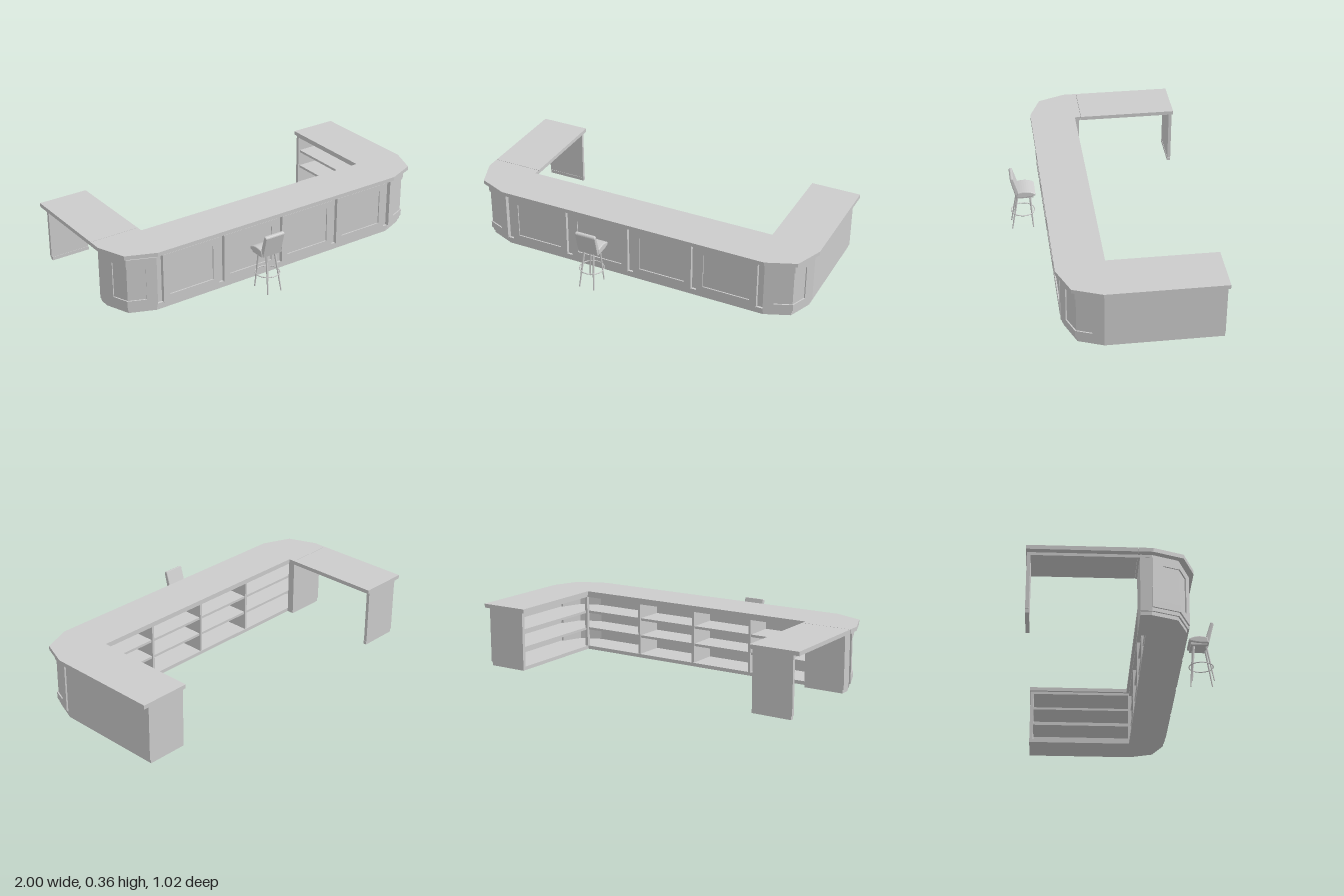
import * as THREE from 'three';

const grey = new THREE.MeshStandardMaterial({ color: 0xcccccc });
const flat = new THREE.MeshStandardMaterial({ color: 0xcccccc, flatShading: true });

function add(parent, name, geometry, material = flat) {
  const mesh = new THREE.Mesh(geometry, material);
  mesh.name = name;
  parent.add(mesh);
  return mesh;
}

// Box given by its limits on each axis
function box(parent, name, x0, x1, y0, y1, z0, z1) {
  const mesh = add(parent, name, new THREE.BoxGeometry(x1 - x0, y1 - y0, z1 - z0));
  mesh.position.set((x0 + x1) / 2, (y0 + y1) / 2, (z0 + z1) / 2);
  return mesh;
}

// Upright prism over a floor plan of [x, z] points
function prism(parent, name, plan, y0, y1) {
  const shape = new THREE.Shape(plan.map(([x, z]) => new THREE.Vector2(x, z)));
  const g = new THREE.ExtrudeGeometry(shape, { depth: y1 - y0, bevelEnabled: false });
  g.rotateX(Math.PI / 2).translate(0, y1, 0);
  return add(parent, name, g);
}

// Chamfered corner on the +x side, moved inwards by d
const corner = d => [
  [1 - d, 0.12 - 0.19 * d],
  [0.94 - 0.77 * d, 0.275 - 0.77 * d],
  [0.78 - 0.2 * d, 0.34 - d],
];
const mirror = pts => pts.map(([x, z]) => [-x, z]);
const mix = (a, b, t) => [a[0] + (b[0] - a[0]) * t, a[1] + (b[1] - a[1]) * t];

// Wall strip between two inward offsets of the same path
function ribbon(parent, name, path, dOut, dIn, y0, y1) {
  return prism(parent, name, [...path(dOut), ...path(dIn).reverse()], y0, y1);
}

// Counter plan: the +x wing runs to the back, the -x side stops at zStop
const plan = (d, ix, iz, zBack, zStop) => [
  [ix, zBack], [1 - d, zBack],
  ...corner(d), ...mirror(corner(d)).reverse(),
  [-(1 - d), zStop], [-ix, zStop], [-ix, iz], [ix, iz],
];

// Framed panel: recessed field, two rails and two end stiles
function framedPanel(parent, name, path, stileA, stileB) {
  const panel = new THREE.Group();
  panel.name = name;
  parent.add(panel);
  ribbon(panel, 'panelField', path, 0.031, 0.05, 0.045, 0.32);
  ribbon(panel, 'bottomRail', path, 0.024, 0.05, 0.045, 0.082);
  ribbon(panel, 'topRail', path, 0.024, 0.05, 0.282, 0.32);
  for (const stile of [stileA, stileB]) ribbon(panel, 'stile', stile, 0.024, 0.05, 0.082, 0.282);
}

function buildCounter() {
  const counter = new THREE.Group();
  counter.name = 'counter';

  // Worktop, mouldings and plinth
  prism(counter, 'worktop', plan(0, 0.72, 0.08, -0.51, 0.045), 0.336, 0.358);
  prism(counter, 'topBoard', plan(0.032, 0.735, 0.095, -0.505, 0.055), 0.32, 0.336);
  prism(counter, 'plinth', plan(0.04, 0.735, 0.095, -0.505, 0.055), 0.005, 0.025);
  const front = d => [...corner(d), ...mirror(corner(d)).reverse()];
  ribbon(counter, 'baseMoulding', front, 0.032, 0.06, 0.025, 0.045);

  // Walls
  ribbon(counter, 'frontWall', front, 0.045, 0.07, 0.025, 0.32);
  box(counter, 'wingSideWall', 0.945, 0.967, 0.025, 0.32, -0.505, 0.114);
  box(counter, 'wingEndWall', 0.735, 0.946, 0.025, 0.32, -0.505, -0.485);
  box(counter, 'gateEndWall', -0.967, -0.735, 0.025, 0.32, 0.055, 0.095);
  box(counter, 'gateSideWall', -0.967, -0.945, 0.025, 0.32, 0.09, 0.114);

  // Straight front panels
  for (let i = 0; i < 4; i++) {
    const x0 = -0.738 + i * 0.3767, x1 = x0 + 0.345;
    const span = (a, b) => d => [[a, 0.34 - d], [b, 0.34 - d]];
    framedPanel(counter, 'frontPanel', span(x0, x1), span(x0, x0 + 0.038), span(x1 - 0.038, x1));
  }

  // Bent corner panels
  for (const flip of [p => p, mirror]) {
    framedPanel(counter, 'cornerPanel',
      d => flip(corner(d)),
      d => { const c = corner(d); return flip([c[0], mix(c[0], c[1], 0.4)]); },
      d => { const c = corner(d); return flip([mix(c[1], c[2], 0.64), c[2]]); });
  }

  // Open shelving on the inside
  for (const y of [0.121, 0.222]) {
    prism(counter, 'shelf', plan(0.06, 0.745, 0.105, -0.49, 0.09), y, y + 0.014);
  }
  for (let i = 1; i < 4; i++) {
    const x = -0.735 + i * 0.3675;
    box(counter, 'shelfDivider', x - 0.007, x + 0.007, 0.025, 0.32, 0.098, 0.28);
  }
  box(counter, 'cornerPost', 0.735, 0.752, 0.025, 0.32, 0.09, 0.11);
  return counter;
}

// Lift-up end of the counter, carried by one leg panel
function buildGate() {
  const gate = new THREE.Group();
  gate.name = 'counterFlap';
  box(gate, 'flapTop', -1, -0.72, 0.336, 0.358, -0.51, 0.043);
  box(gate, 'flapApron', -0.967, -0.95, 0.32, 0.336, -0.505, 0.055);
  box(gate, 'legPanel', -0.965, -0.737, 0.025, 0.336, -0.505, -0.487);
  box(gate, 'legFoot', -0.96, -0.735, 0.005, 0.025, -0.505, -0.485);
  return gate;
}

// Side profile of [z, y] points swept across x with a rounded rim
function sideSweep(parent, name, draw, width, bevel) {
  const shape = new THREE.Shape();
  draw(shape);
  const depth = width - 2 * bevel;
  const g = new THREE.ExtrudeGeometry(shape, {
    depth, bevelSize: bevel, bevelThickness: bevel, bevelSegments: 3, curveSegments: 8,
  });
  g.rotateY(-Math.PI / 2).translate(depth / 2, 0, 0);
  return add(parent, name, g, grey);
}

function buildStool() {
  const stool = new THREE.Group();
  stool.name = 'barStool';
  sideSweep(stool, 'seat', s => {
    s.moveTo(0.374, 0.238);
    s.quadraticCurveTo(0.41, 0.262, 0.464, 0.248);
    s.lineTo(0.47, 0.224);
    s.quadraticCurveTo(0.42, 0.222, 0.374, 0.234);
  }, 0.13, 0.006);
  box(stool, 'seatPan', -0.055, 0.055, 0.211, 0.224, 0.378, 0.468);
  sideSweep(stool, 'backrest', s => {
    s.moveTo(0.463, 0.222);
    s.lineTo(0.473, 0.222);
    s.lineTo(0.501, 0.335);
    s.quadraticCurveTo(0.5, 0.342, 0.492, 0.341);
    s.lineTo(0.466, 0.255);
  }, 0.12, 0.005);

  // Four splayed tapering legs
  const up = new THREE.Vector3(0, 1, 0);
  for (const side of [-1, 1]) {
    for (const [zTop, zFoot] of [[0.397, 0.383], [0.465, 0.502]]) {
      const top = new THREE.Vector3(side * 0.027, 0.215, zTop);
      const foot = new THREE.Vector3(side * 0.043, 0.003, zFoot);
      const dir = top.clone().sub(foot);
      const leg = add(stool, 'leg', new THREE.CylinderGeometry(0.006, 0.0035, dir.length(), 10), grey);
      leg.position.copy(top).add(foot).multiplyScalar(0.5);
      leg.quaternion.setFromUnitVectors(up, dir.normalize());
    }
  }
  const ring = add(stool, 'footRing', new THREE.TorusGeometry(0.066, 0.003, 8, 32), grey);
  ring.rotation.x = Math.PI / 2;
  ring.position.set(0, 0.1, 0.437);
  stool.position.x = -0.17;
  return stool;
}

export function createModel() {
  const model = new THREE.Group();
  model.name = 'barCounterWithStool';
  model.add(buildCounter(), buildGate(), buildStool());
  return model;
}
